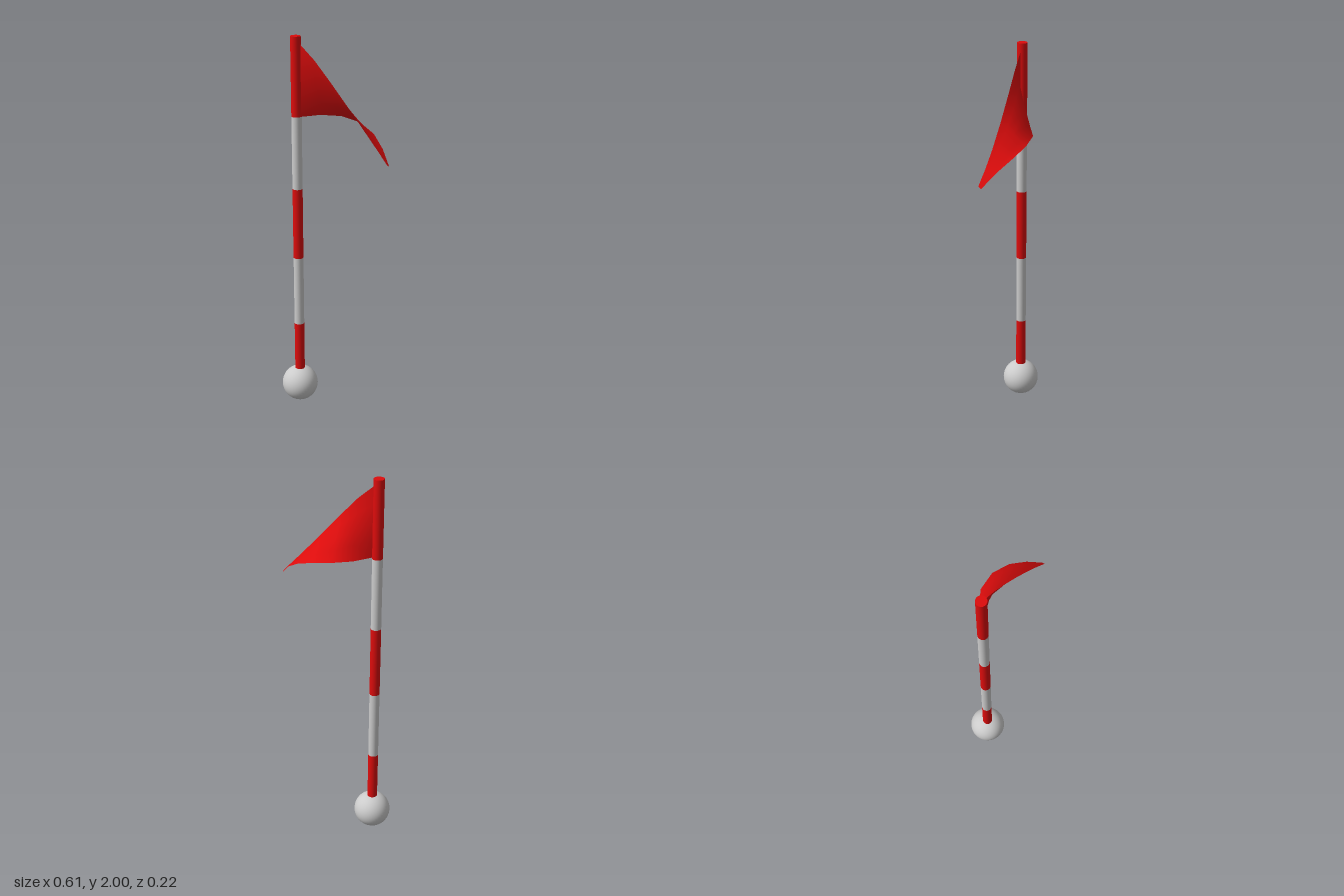
import * as THREE from 'three';

const POLE_X = -0.213, POLE_Z = 0.011, POLE_R = 0.026;

export function createModel() {
  const group = new THREE.Group();
  const red = new THREE.MeshStandardMaterial({ color: 0xdd0c0c });
  const grey = new THREE.MeshStandardMaterial({ color: 0xcccccc });
  const cloth = new THREE.MeshStandardMaterial({ color: 0xdd0c0c, side: THREE.DoubleSide });

  const add = (name, geometry, material, x = 0, y = 0, z = 0) => {
    const mesh = new THREE.Mesh(geometry, material);
    mesh.name = name;
    mesh.position.set(x, y, z);
    group.add(mesh);
  };

  // Ball at the foot
  add('baseBall', new THREE.SphereGeometry(0.096, 40, 28), grey, POLE_X, 0.097, POLE_Z);

  // Striped pole, alternating bands from the ball to the top
  const levels = [0.17, 0.46, 0.84, 1.22, 1.6, 2];
  for (let i = 0; i < levels.length - 1; i++) {
    const h = levels[i + 1] - levels[i];
    add(`poleBand${i + 1}`, new THREE.CylinderGeometry(POLE_R, POLE_R, h, 32),
      i % 2 ? grey : red, POLE_X, levels[i] + h / 2, POLE_Z);
  }

  // Pennant: straight upper edge, lower edge billowing backwards
  const upper = [
    [-0.188, 1.96, 0.011], [-0.11, 1.89, 0.013], [-0.02, 1.79, 0.016], [0.08, 1.675, 0.022],
    [0.17, 1.572, 0.031], [0.24, 1.495, 0.042], [0.3, 1.43, 0.055],
  ];
  const lower = [
    [-0.188, 1.6, 0.011], [-0.117, 1.6, -0.066], [-0.023, 1.594, -0.11], [0.08, 1.575, -0.108],
    [0.173, 1.537, -0.07], [0.245, 1.485, -0.015], [0.304, 1.42, 0.04],
  ];
  const rows = 4, columns = upper.length;
  const positions = [], index = [];
  for (let c = 0; c < columns; c++) {
    for (let r = 0; r <= rows; r++) {
      for (let k = 0; k < 3; k++) {
        positions.push(THREE.MathUtils.lerp(upper[c][k], lower[c][k], r / rows));
      }
      if (c < columns - 1 && r < rows) {
        const a = c * (rows + 1) + r, b = a + rows + 1;
        index.push(a, a + 1, b, b, a + 1, b + 1);
      }
    }
  }
  const flag = new THREE.BufferGeometry();
  flag.setAttribute('position', new THREE.Float32BufferAttribute(positions, 3));
  flag.setIndex(index);
  flag.computeVertexNormals();
  add('pennant', flag, cloth);

  return group;
}
